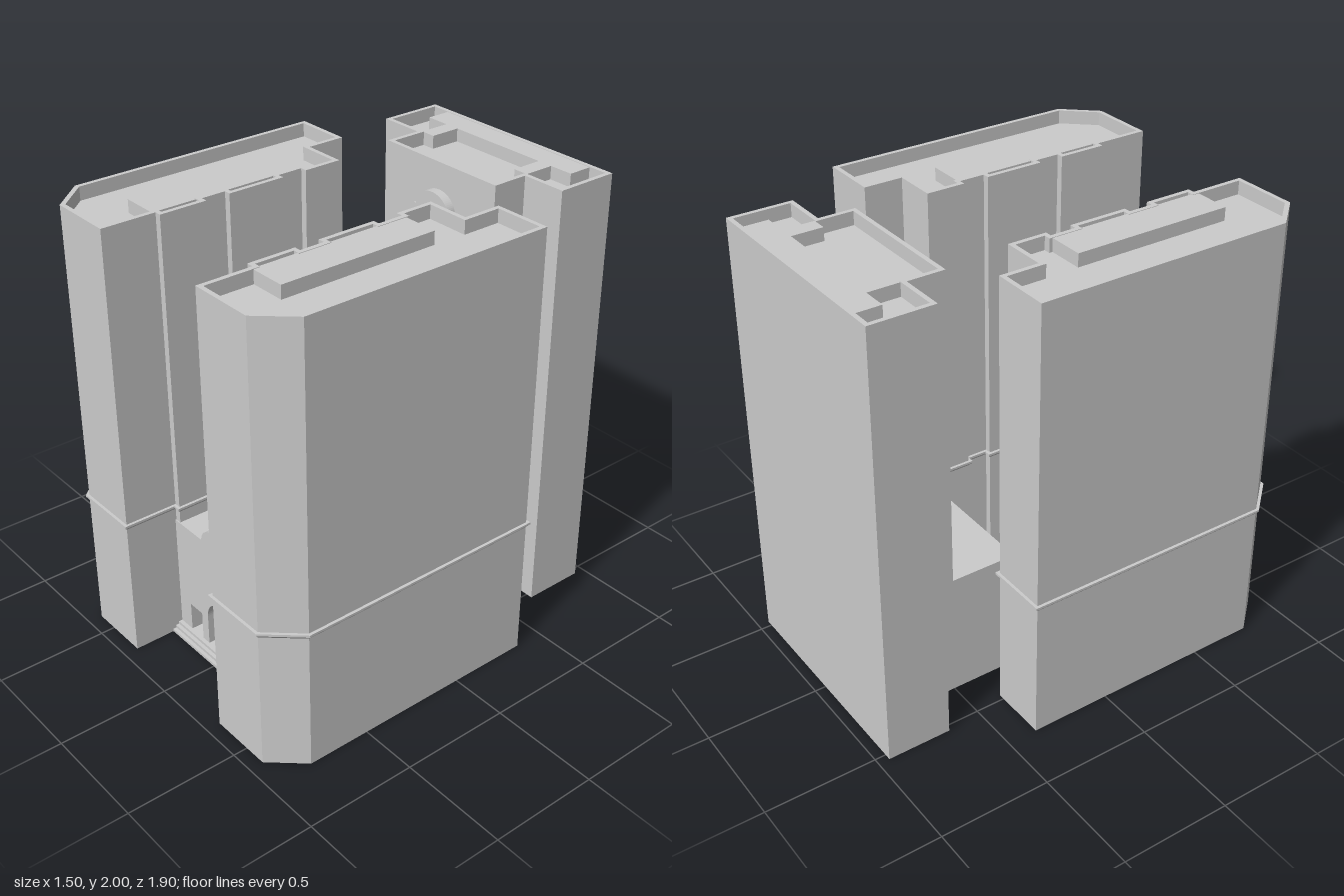
import * as THREE from 'three';

const material = new THREE.MeshStandardMaterial({ color: 0xcccccc, flatShading: true, side: THREE.DoubleSide });

function add(group, name, geometry) {
  const mesh = new THREE.Mesh(geometry, material);
  mesh.name = name;
  group.add(mesh);
  return mesh;
}

// Plans are lists of [x, z]; stored as (x, -z) and kept counter-clockwise.
function plan(points, side = 1) {
  const pts = points.map(([x, z]) => new THREE.Vector2(x * side, -z));
  return THREE.ShapeUtils.isClockWise(pts) ? pts.reverse() : pts;
}

// Mitred offset of a counter-clockwise outline, outwards for positive d.
function offset(pts, d) {
  const n = pts.length;
  return pts.map((p, i) => {
    const a = p.clone().sub(pts[(i + n - 1) % n]).normalize();
    const b = pts[(i + 1) % n].clone().sub(p).normalize();
    const na = new THREE.Vector2(a.y, -a.x);
    const nb = new THREE.Vector2(b.y, -b.x);
    const k = d / (1 + na.dot(nb));
    return p.clone().add(na.add(nb).multiplyScalar(k));
  });
}

// Upright prism over a plan, with an optional hole.
function prism(pts, y0, y1, hole) {
  const shape = new THREE.Shape(pts);
  if (hole) shape.holes.push(new THREE.Path(hole));
  return new THREE.ExtrudeGeometry(shape, { depth: y1 - y0, bevelEnabled: false })
    .rotateX(-Math.PI / 2).translate(0, y0, 0);
}

// Flared band around an outline; the profile is [outward distance, height].
function band(pts, profile) {
  const pos = [];
  const rings = profile.map(([d, y]) => offset(pts, d).map(p => [p.x, y, -p.y]));
  for (let r = 0; r < rings.length - 1; r++) {
    for (let i = 0; i < pts.length; i++) {
      const j = (i + 1) % pts.length;
      const a = rings[r][i], b = rings[r][j], c = rings[r + 1][j], d = rings[r + 1][i];
      pos.push(...a, ...b, ...c, ...a, ...c, ...d);
    }
  }
  const g = new THREE.BufferGeometry();
  g.setAttribute('position', new THREE.Float32BufferAttribute(pos, 3));
  g.computeVertexNormals();
  return g;
}

function box(x0, x1, y0, y1, z0, z1) {
  return new THREE.BoxGeometry(x1 - x0, y1 - y0, z1 - z0)
    .translate((x0 + x1) / 2, (y0 + y1) / 2, (z0 + z1) / 2);
}

// Upright panel with shoulders and a round head.
function archPanel(w, r, y0, shoulder, top, z0, z1) {
  const s = new THREE.Shape();
  s.moveTo(-w, y0);
  s.lineTo(w, y0);
  s.lineTo(w, shoulder);
  s.lineTo(r, shoulder);
  s.absellipse(0, shoulder, r, top - shoulder, 0, Math.PI, false);
  s.lineTo(-w, shoulder);
  s.closePath();
  return new THREE.ExtrudeGeometry(s, { depth: z1 - z0, bevelEnabled: false, curveSegments: 16 })
    .translate(0, 0, z0);
}

const TOP = 2, ROOF = 1.94, RIM = 0.02, LOW = 0.58;

// Body, parapet rim
function tower(group, name, pts) {
  add(group, name + 'Body', prism(pts, 0, ROOF));
  add(group, name + 'Parapet', prism(pts, ROOF, TOP, offset(pts, -RIM)));
}

export function createModel() {
  const model = new THREE.Group();
  model.name = 'building';

  // Mirrored side towers with pilasters facing the court
  const sidePlan = [
    [0.735, -0.365], [0.735, 0.79], [0.605, 0.935], [0.31, 0.935], [0.31, 0.69],
    [0.28, 0.69], [0.28, 0.475], [0.31, 0.475], [0.31, 0.365], [0.28, 0.365],
    [0.28, 0.1], [0.31, 0.1], [0.31, -0.015], [0.28, -0.015], [0.28, -0.19],
    [0.475, -0.19], [0.475, -0.365],
  ];
  for (const side of [1, -1]) {
    const t = new THREE.Group();
    t.name = side > 0 ? 'leftTower' : 'rightTower';
    const pts = plan(sidePlan, side);
    tower(t, 'sideTower', pts);
    add(t, 'stringCourse', band(pts, [[0, 0.635], [0.013, 0.65], [0.013, 0.66], [0, 0.66]]));
    const roofPlan = [[0.49, -0.02], [0.49, 0.7], [0.32, 0.7], [0.32, -0.02]];
    add(t, 'roofBlock', prism(plan(roofPlan, side), ROOF, TOP - 0.002));
    model.add(t);
  }

  // Back tower with a neck towards the court
  const back = new THREE.Group();
  back.name = 'backTower';
  tower(back, 'backTower', plan([
    [-0.53, -0.95], [0.53, -0.95], [0.53, -0.66], [0.325, -0.66],
    [0.325, -0.495], [-0.325, -0.495], [-0.325, -0.66], [-0.53, -0.66],
  ]));
  add(back, 'backRoofBlock', prism(plan([
    [-0.425, -0.935], [0.425, -0.935], [0.425, -0.82], [0.315, -0.82], [0.315, -0.68], [0.245, -0.68],
    [0.245, -0.82], [-0.245, -0.82], [-0.245, -0.68], [-0.315, -0.68], [-0.315, -0.82], [-0.425, -0.82],
  ]), ROOF, TOP - 0.002));
  add(back, 'archedPanel', archPanel(0.11, 0.098, LOW, 1.8, 1.88, -0.5, -0.455));
  model.add(back);

  // Low block joining the back tower to the side towers
  add(model, 'lowLink', box(-0.325, 0.325, 0, LOW, -0.495, -0.19));

  // Front wall with an arched doorway and two side openings
  const front = new THREE.Group();
  front.name = 'entrance';
  const wall = new THREE.Shape([[-0.31, 0], [0.31, 0], [0.31, LOW], [-0.31, LOW]]
    .map(p => new THREE.Vector2(...p)));
  const door = new THREE.Path();
  door.moveTo(-0.1, 0.04);
  door.lineTo(0.1, 0.04);
  door.lineTo(0.1, 0.187);
  door.absarc(0, 0.187, 0.1, 0, Math.PI, false);
  door.closePath();
  wall.holes.push(door);
  for (const s of [1, -1]) {
    wall.holes.push(new THREE.Path([[0.145, 0.04], [0.23, 0.04], [0.23, 0.175], [0.145, 0.175]]
      .map(([x, y]) => new THREE.Vector2(x * s, y))));
  }
  add(front, 'frontWall', new THREE.ExtrudeGeometry(wall, { depth: 0.225, bevelEnabled: false, curveSegments: 16 })
    .translate(0, 0, 0.47));
  add(front, 'wallCrest', archPanel(0.12, 0.115, LOW, 0.59, 0.66, 0.675, 0.695));

  // Steps
  for (let i = 0; i < 3; i++) {
    add(front, 'step', box(-0.31, 0.31, 0, 0.04 - i * 0.0133, 0.69, 0.713 + i * 0.016));
  }
  model.add(front);
  return model;
}
